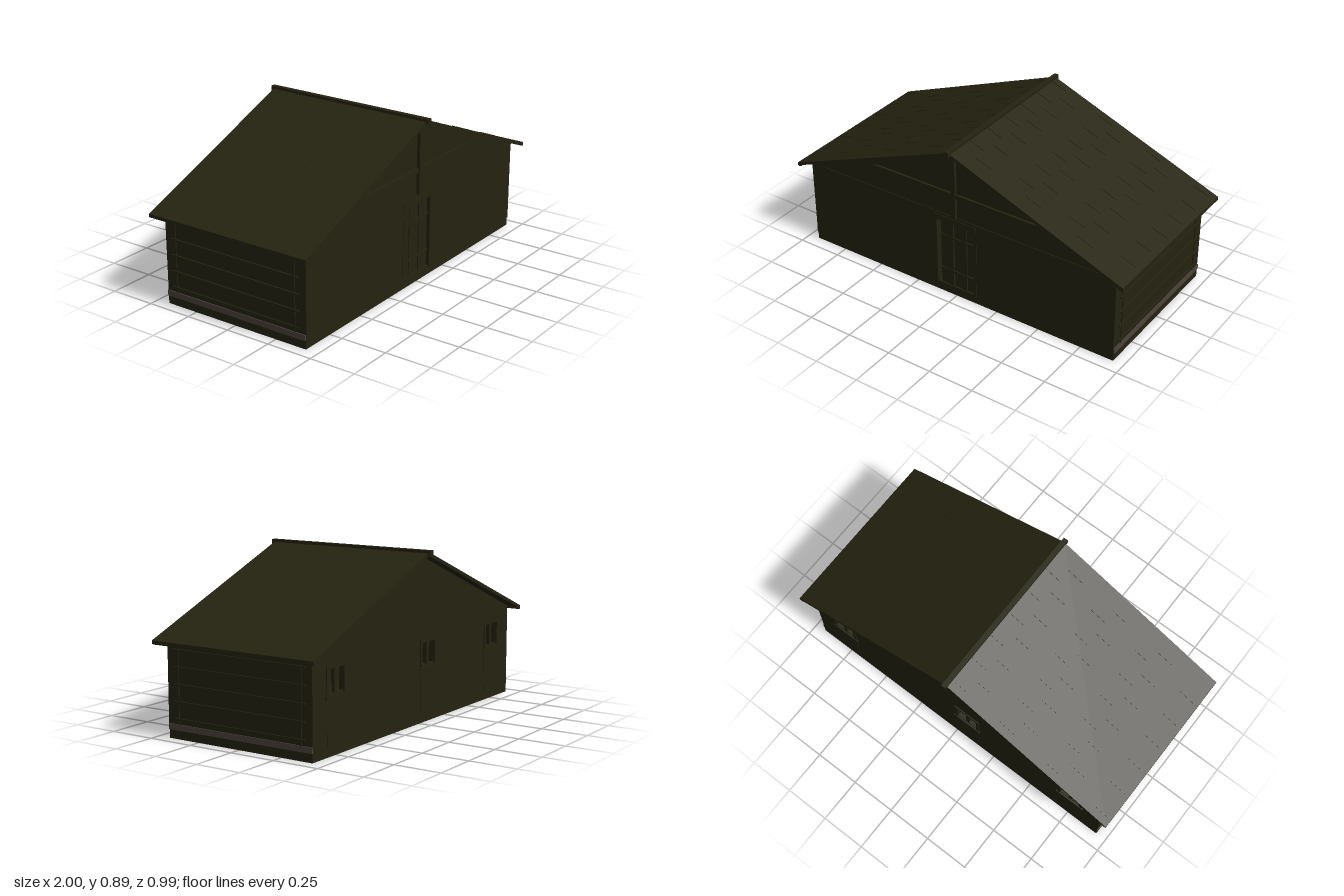
import * as THREE from 'three';

export function createModel() {
  const house = new THREE.Group();
  house.name = 'house';
  const olive = new THREE.MeshStandardMaterial({ color: 0x25230f });
  olive.name = 'dark olive';
  const brown = new THREE.MeshStandardMaterial({ color: 0x4d423d });
  brown.name = 'dull brown';

  const add = (name, geo, mat = olive, parent = house) => {
    const m = new THREE.Mesh(geo, mat);
    m.name = name;
    parent.add(m);
    return m;
  };
  // Box given by its limits on each axis
  const box = (name, x0, x1, y0, y1, z0, z1, mat = olive, parent = house) => {
    const m = add(name, new THREE.BoxGeometry(x1 - x0, y1 - y0, z1 - z0), mat, parent);
    m.position.set((x0 + x1) / 2, (y0 + y1) / 2, (z0 + z1) / 2);
    return m;
  };
  const outline = (pts) => new THREE.Shape(pts.map(([x, y]) => new THREE.Vector2(x, y)));
  const extrude = (name, shape, z0, z1) => {
    const m = add(name, new THREE.ExtrudeGeometry(shape, { depth: z1 - z0, bevelEnabled: false }));
    m.position.z = z0;
    return m;
  };

  const W = 0.94, D = 0.43, SLOPE = 0.395;
  const roofY = (x) => 0.885 - SLOPE * Math.abs(x);
  const angle = Math.atan(SLOPE);

  // Foundation
  box('foundation', -W, W, 0, 0.045, -D, D);

  // Gable walls with openings cut through
  const gableWall = (holes) => {
    const s = outline([[-W, 0.045], [W, 0.045], [W, 0.492], [0, 0.866], [-W, 0.492]]);
    holes.forEach(([a, b, c, d]) =>
      s.holes.push(new THREE.Path([[a, c], [a, d], [b, d], [b, c]].map((p) => new THREE.Vector2(...p)))));
    return s;
  };
  const windows = [0.75, -0.08, -0.75];
  extrude('frontWall', gableWall([[-0.115, 0.112, 0.05, 0.44]]), D - 0.03, D);
  extrude('backWall', gableWall(windows.map((x) => [x - 0.068, x + 0.068, 0.3, 0.42])), -D, -D + 0.03);

  // Front cladding beside the door
  for (const s of [-1, 1]) {
    const inner = s < 0 ? -W : 0.13;
    box('frontCladding', inner, s < 0 ? -0.135 : W, 0.045, 0.485, D, D + 0.004);
  }
  box('doorLintelCladding', -0.135, 0.13, 0.47, 0.485, D, D + 0.004);

  // Side walls with rails, posts and skirting
  for (const s of [-1, 1]) {
    const side = new THREE.Group();
    side.name = s > 0 ? 'leftSide' : 'rightSide';
    house.add(side);
    const slab = (name, a, b, y0, y1, z0, z1, mat) =>
      box(name, Math.min(s * a, s * b), Math.max(s * a, s * b), y0, y1, z0, z1, mat, side);
    slab('sideWall', W - 0.03, W, 0.045, 0.49, -D + 0.03, D - 0.03);
    slab('skirting', W - 0.002, W + 0.005, 0.045, 0.075, -D, D, brown);
    for (let i = 0; i < 5; i++) {
      const y = 0.102 + i * 0.086;
      slab('sideRail', W, W + 0.008, y - 0.004, y + 0.004, -0.393, 0.393);
    }
    for (const z of [-0.367, 0.367]) slab('sidePost', W, W + 0.005, 0.075, 0.475, z - 0.003, z + 0.003);
  }

  // Roof: two sloping slabs in one section, with boards along the eaves
  extrude('roof', outline([[0, 0.885], [-1, 0.49], [-1, 0.472], [0, 0.866], [1, 0.472], [1, 0.49]]), -0.48, 0.48);
  for (const s of [-1, 1]) {
    const eave = box('eaveBoard', -0.01, 0.01, -0.008, 0.008, -0.48, 0.48);
    eave.position.set(s * 0.987, 0.48, 0);
    eave.rotation.z = -s * angle;
  }
  box('ridgeCap', -0.013, 0.013, 0.868, 0.895, -0.495, 0.495);

  // Staggered shingle joints
  for (const s of [-1, 1])
    for (let col = 0; col < 12; col++)
      for (let row = 0; row < 4; row++) {
        const y = 0.863 - (col % 2 ? 0 : 0.036) - row * 0.115;
        if (y < 0.5) continue;
        const x = (0.885 - y) / SLOPE;
        const joint = add('shingleJoint', new THREE.BoxGeometry(0.095, 0.003, 0.004));
        joint.position.set(s * x, y + 0.001, 0.385 - col * 0.0745);
        joint.rotation.z = -s * angle;
      }

  // Front truss: rafters, collar beam and king post
  for (const s of [-1, 1]) {
    const rafter = outline([[0, 0.866], [s * 0.94, 0.494], [s * 0.86, 0.488], [0, 0.83]]);
    extrude('rafter', rafter, D, D + 0.015);
  }
  box('collarBeam', -0.58, 0.58, 0.605, 0.628, D, D + 0.013);
  box('kingPost', -0.012, 0.012, 0.485, 0.868, D, D + 0.018);

  // Door frame and plank door
  box('doorJamb', -0.135, -0.115, 0.045, 0.455, D - 0.03, D + 0.006);
  box('doorJamb', 0.112, 0.13, 0.045, 0.455, D - 0.03, D + 0.006);
  box('doorHead', -0.135, 0.13, 0.44, 0.47, D - 0.03, D + 0.008);
  [[-0.1, -0.062], [-0.062, -0.021], [-0.016, 0.022], [0.024, 0.062], [0.064, 0.106]].forEach(([a, b], i) =>
    box('doorPlank', a, b, 0.048, 0.435, D - 0.02, D - 0.01 + (i % 2) * 0.004));
  for (const y of [0.14, 0.345]) box('doorLedge', -0.1, 0.106, y - 0.006, y + 0.006, D - 0.01, D - 0.003);

  // Back windows with mullion, frame, sill and panel below
  for (const x of windows) {
    const w = new THREE.Group();
    w.name = 'backWindow';
    w.position.set(x, 0, -D);
    house.add(w);
    for (const s of [-1, 1]) box('windowJamb', s * 0.07 - 0.009, s * 0.07 + 0.009, 0.288, 0.435, -0.005, 0.025, olive, w);
    box('windowHead', -0.079, 0.079, 0.418, 0.435, -0.005, 0.025, olive, w);
    box('windowMullion', -0.01, 0.01, 0.29, 0.42, 0.002, 0.02, olive, w);
    box('windowSill', -0.085, 0.085, 0.276, 0.29, -0.008, 0.025, olive, w);
    box('windowPanel', -0.075, 0.075, 0.045, 0.276, -0.002, 0.001, olive, w);
  }
  return house;
}
